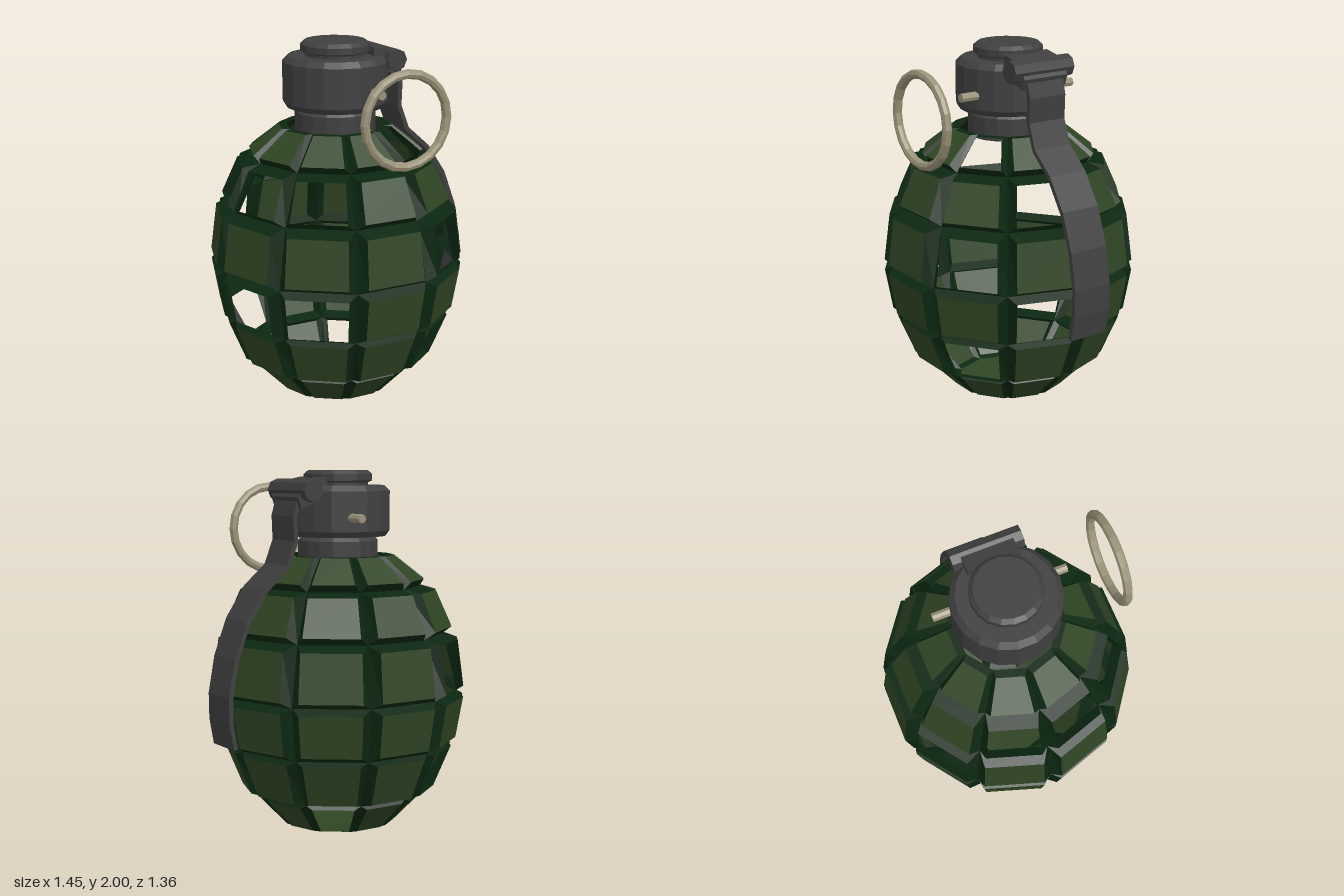
import * as THREE from 'three';

const mat = (name, color, opts = {}) =>
  Object.assign(new THREE.MeshStandardMaterial({ color, flatShading: true, ...opts }), { name });

const AXIS = -0.04; // the body axis sits slightly off centre
const COLUMNS = 10;

// groove lines (radius, height) from neck to base
const GROOVES = [[0.27, 1.54], [0.45, 1.37], [0.585, 1.11], [0.66, 0.79], [0.61, 0.5], [0.47, 0.23], [0.29, 0.04]];
// raised plates: top radius, top height, bottom radius, bottom height
const PLATES = [
  [0.31, 1.54, 0.475, 1.41], [0.54, 1.35, 0.63, 1.15], [0.665, 1.08, 0.7, 0.82],
  [0.7, 0.76, 0.66, 0.53], [0.635, 0.48, 0.54, 0.25], [0.475, 0.21, 0.32, 0.05],
];
// open plates: column angle -> rows
const OPEN = { 18: [1, 3], 54: [0, 2, 4], 126: [1, 3], 162: [1, 3], 198: [1], 234: [2, 4], 306: [5] };

function quad(list, a, b, c, d) {
  for (const p of [a, b, c, a, c, d]) list.push(p[0], p[1], p[2]);
}

function corners(centre, half, rTop, yTop, rBottom, yBottom) {
  const at = (deg, r, y) => {
    const t = THREE.MathUtils.degToRad(deg);
    return [r * Math.cos(t), y, r * Math.sin(t)];
  };
  const lo = centre - half, hi = centre + half;
  return [at(lo, rTop, yTop), at(hi, rTop, yTop), at(hi, rBottom, yBottom), at(lo, rBottom, yBottom)];
}

function faceted(list) {
  const g = new THREE.BufferGeometry();
  g.setAttribute('position', new THREE.Float32BufferAttribute(list, 3));
  g.computeVertexNormals();
  return g;
}

export function createModel() {
  const plateGreen = mat('plate green', 0x2f4524, { side: THREE.DoubleSide });
  const grooveGreen = mat('groove green', 0x0c2711, { side: THREE.DoubleSide });
  const darkMetal = mat('dark metal', 0x3f3f40);
  const paleMetal = mat('pale metal', 0x9a9278);

  const model = new THREE.Group();
  const add = (name, geometry, material, x = 0, y = 0, z = 0) => {
    const mesh = new THREE.Mesh(geometry, material);
    mesh.name = name;
    mesh.position.set(x, y, z);
    model.add(mesh);
    return mesh;
  };

  // body: rows and columns of raised plates with bevelled grooves
  const plates = [], bevels = [];
  for (let col = 0; col < COLUMNS; col++) {
    const angle = 18 + col * 36;
    PLATES.forEach((p, row) => {
      const cap = corners(angle, 13.8, ...p);
      const base = corners(angle, 18, ...GROOVES[row], ...GROOVES[row + 1]);
      if (!(OPEN[angle] || []).includes(row)) quad(plates, ...cap);
      for (let i = 0; i < 4; i++) {
        const j = (i + 1) % 4;
        quad(bevels, base[i], base[j], cap[j], cap[i]);
      }
    });
  }
  add('bodyPlates', faceted(plates), plateGreen, AXIS);
  add('bodyGrooves', faceted(bevels), grooveGreen, AXIS);

  // shallow cone closing the bottom, corners on the groove lines
  const bottom = new THREE.ConeGeometry(0.29, 0.04, COLUMNS, 1, true);
  bottom.rotateX(Math.PI);
  bottom.rotateY(Math.PI / 2);
  add('bodyBottom', bottom, plateGreen, AXIS, 0.02);

  // neck, fuse head and top cap
  const lathe = (points, sides) =>
    new THREE.LatheGeometry(points.map(([x, y]) => new THREE.Vector2(x, y)), sides);
  add('neck', lathe([[0, 1.5], [0.22, 1.5], [0.22, 1.62], [0.2, 1.64], [0.2, 1.66]], 18), darkMetal, AXIS);
  add('fuseHead', lathe([[0, 1.645], [0.265, 1.645], [0.285, 1.675], [0.285, 1.89], [0.255, 1.92], [0, 1.92]], 18), darkMetal, AXIS);
  add('topCap', lathe([[0.165, 1.91], [0.165, 1.935], [0.188, 1.945], [0.188, 1.98], [0.165, 2], [0, 2]], 18), darkMetal, AXIS);

  // prism of a front-plane outline, centred on z
  const prism = (points, width) => {
    const shape = new THREE.Shape(points.map(([x, y]) => new THREE.Vector2(x, y)));
    const g = new THREE.ExtrudeGeometry(shape, { depth: width, bevelEnabled: false });
    return g.translate(0, 0, -width / 2);
  };

  // hinge: sloping bracket carrying a crosswise roll
  add('hingeBracket', prism([[0.12, 1.86], [0.28, 1.8], [0.3, 1.86], [0.25, 1.94], [0.12, 1.965]], 0.28), darkMetal);
  const roll = new THREE.CylinderGeometry(0.06, 0.06, 0.38, 8);
  roll.rotateX(Math.PI / 2);
  add('hingeRoll', roll, darkMetal, 0.235, 1.895);

  // curved safety lever: a strip of even thickness along a path
  const path = [[0.25, 1.92], [0.29, 1.85], [0.315, 1.76], [0.31, 1.63], [0.36, 1.5], [0.49, 1.385],
    [0.6, 1.22], [0.675, 1.02], [0.712, 0.82], [0.71, 0.68], [0.685, 0.54]];
  const inner = path.map(([x, y], i) => {
    const a = path[Math.max(i - 1, 0)], b = path[Math.min(i + 1, path.length - 1)];
    const dx = b[0] - a[0], dy = b[1] - a[1], len = Math.hypot(dx, dy);
    return [x + (dy / len) * 0.025, y - (dx / len) * 0.025];
  });
  add('lever', prism([...path, ...inner.reverse()], 0.23), darkMetal);

  // pin through the head and the pull ring in front
  const pin = new THREE.CylinderGeometry(0.024, 0.024, 0.73, 8);
  pin.rotateX(Math.PI / 2);
  add('pin', pin, paleMetal, 0.045, 1.75);
  add('pullRing', new THREE.TorusGeometry(0.24, 0.025, 8, 20), paleMetal, 0.045, 1.665, 0.605);

  return model;
}
